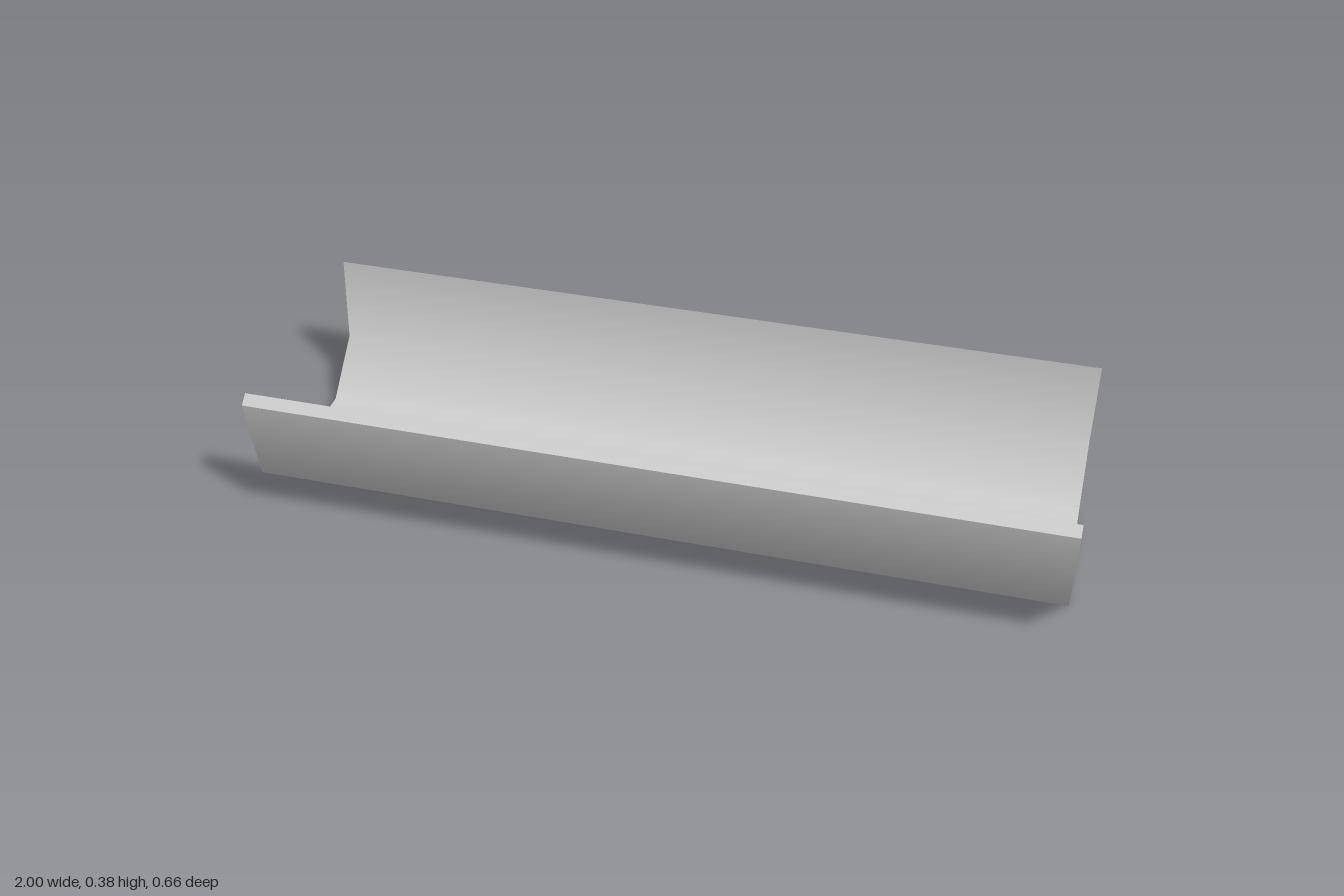
import * as THREE from 'three';

// Right half of the section: outer skin from bottom to rim, then inner skin back down
const HALF = [[0.152, 0], [0.294, 0.123], [0.331, 0.357], [0.307, 0.377], [0.285, 0.154], [0.152, 0.034]];
const LENGTH = 2;
const CREASE = Math.cos(THREE.MathUtils.degToRad(50));

// Smooth the gentle bends of an extruded outline, keeping rims and ends sharp
function smoothBends(geometry, outline) {
  const n = outline.length;
  const edgeNormals = outline.map((p, i) => {
    const q = outline[(i + 1) % n];
    return new THREE.Vector2(q.y - p.y, p.x - q.x).normalize();
  });
  const pos = geometry.attributes.position;
  const nor = geometry.attributes.normal;
  const point = new THREE.Vector2();
  for (let v = 0; v < pos.count; v++) {
    if (Math.abs(nor.getZ(v)) > 0.5) continue; // end faces stay flat
    point.set(pos.getX(v), pos.getY(v));
    const i = outline.findIndex((p) => p.distanceTo(point) < 1e-4);
    const before = edgeNormals[(i + n - 1) % n];
    const after = edgeNormals[i];
    if (before.dot(after) < CREASE) continue;
    const sum = before.clone().add(after).normalize();
    nor.setXYZ(v, sum.x, sum.y, 0);
  }
}

export function createModel() {
  const group = new THREE.Group();
  group.name = 'trough';

  // Full counter-clockwise section: right half, then its mirror image
  const right = HALF.map(([x, y]) => new THREE.Vector2(x, y));
  const left = HALF.map(([x, y]) => new THREE.Vector2(-x, y)).reverse();
  const outline = [...right, ...left];

  const geometry = new THREE.ExtrudeGeometry(new THREE.Shape(outline), {
    depth: LENGTH, steps: 1, bevelEnabled: false,
  });
  smoothBends(geometry, outline);
  geometry.translate(0, 0, -LENGTH / 2);
  geometry.rotateY(Math.PI / 2); // run the channel along x

  const channel = new THREE.Mesh(geometry, new THREE.MeshStandardMaterial({ color: 0xcccccc }));
  channel.name = 'channel';
  group.add(channel);
  return group;
}
